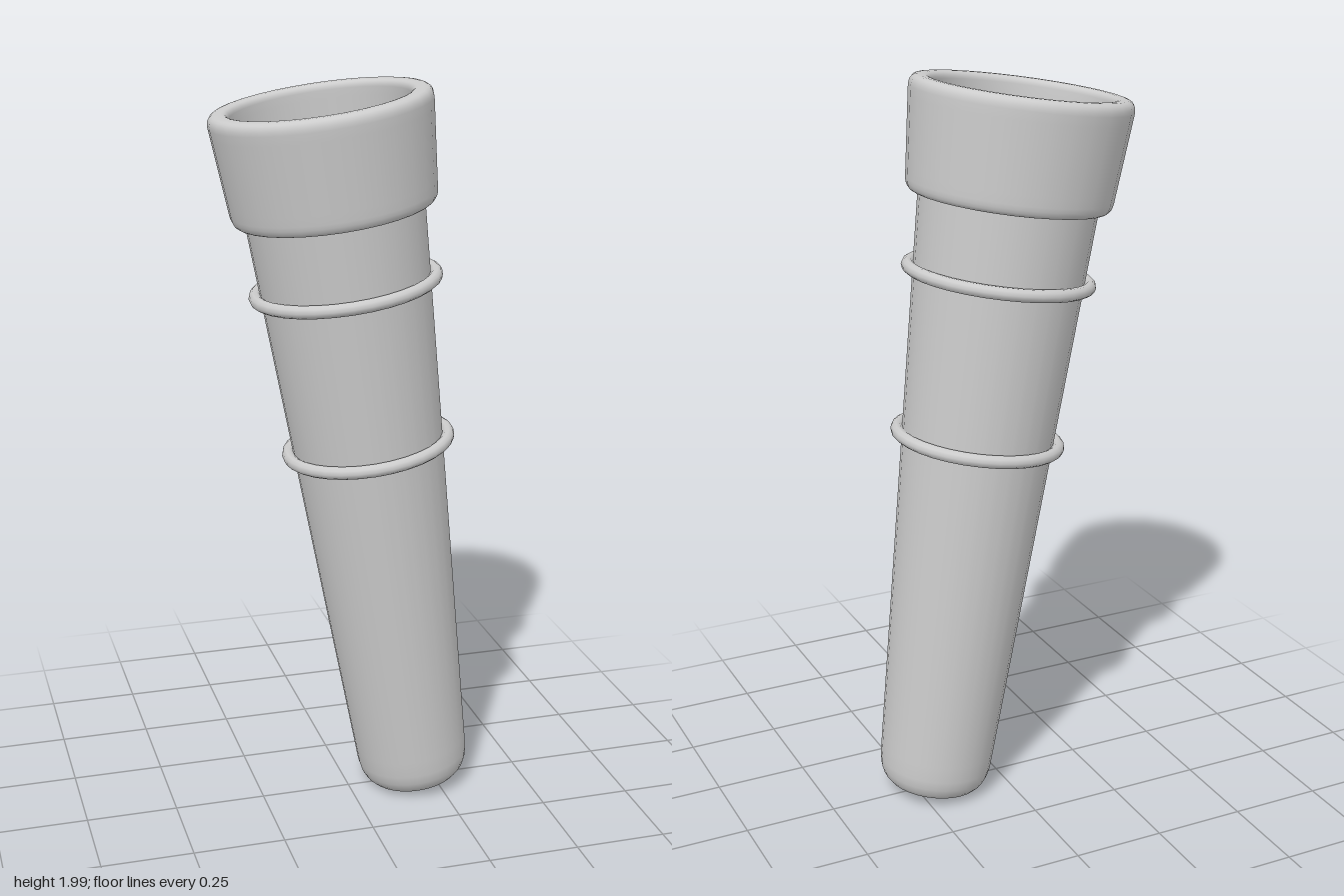
import * as THREE from 'three';

const SIDES = 32;
const LENGTH = 1.96;
const TILT = 0.142;
const FLOOR = 1.67;
const material = new THREE.MeshStandardMaterial({ color: 0xcccccc });

function addMesh(parent, name, geometry) {
  const mesh = new THREE.Mesh(geometry, material);
  mesh.name = name;
  parent.add(mesh);
  return mesh;
}

// Spins a path (x = radius, y = height) around the vertical axis
const lathe = (path) => new THREE.LatheGeometry(path.getPoints(5), SIDES);

// Radius of the tapered body at a given height
const bodyRadius = (y) => 0.152 + 0.05 * y;

export function createModel() {
  const model = new THREE.Group();
  model.name = 'leaningTaperedTube';

  const tube = new THREE.Group();
  tube.name = 'tube';
  tube.position.set(0.2, 0.02, 0);
  tube.rotation.z = TILT;
  model.add(tube);

  // Tapered body with a rounded foot
  const body = new THREE.Path();
  body.moveTo(0, 0);
  body.lineTo(0.09, 0.002);
  body.bezierCurveTo(0.13, 0.005, 0.15, 0.025, bodyRadius(0.075), 0.075);
  body.lineTo(bodyRadius(0.12), 0.12);
  body.lineTo(bodyRadius(FLOOR), FLOOR);
  addMesh(tube, 'body', lathe(body));

  // Flat floor inside the collar
  const floor = addMesh(tube, 'collarFloor', new THREE.CircleGeometry(bodyRadius(FLOOR), SIDES));
  floor.rotation.x = -Math.PI / 2;
  floor.position.y = FLOOR;

  // Hollow flared collar with softened edges
  const collar = new THREE.Path();
  collar.moveTo(0.233, FLOOR);
  collar.lineTo(0.25, FLOOR);
  collar.quadraticCurveTo(0.268, FLOOR, 0.271, FLOOR + 0.03);
  collar.lineTo(0.273, FLOOR + 0.055);
  collar.lineTo(0.288, LENGTH - 0.055);
  collar.lineTo(0.29, LENGTH - 0.03);
  collar.quadraticCurveTo(0.291, LENGTH - 0.002, 0.268, LENGTH);
  collar.lineTo(0.252, LENGTH);
  collar.quadraticCurveTo(0.236, LENGTH - 0.001, 0.235, LENGTH - 0.018);
  collar.lineTo(0.235, LENGTH - 0.04);
  collar.lineTo(0.233, FLOOR);
  addMesh(tube, 'collar', lathe(collar));

  // Two raised bands
  for (const [name, y] of [['upperBand', 1.473], ['lowerBand', 1.028]]) {
    const band = addMesh(tube, name, new THREE.TorusGeometry(bodyRadius(y) + 0.014, 0.017, 10, SIDES));
    band.rotation.x = Math.PI / 2;
    band.position.y = y;
  }

  return model;
}
